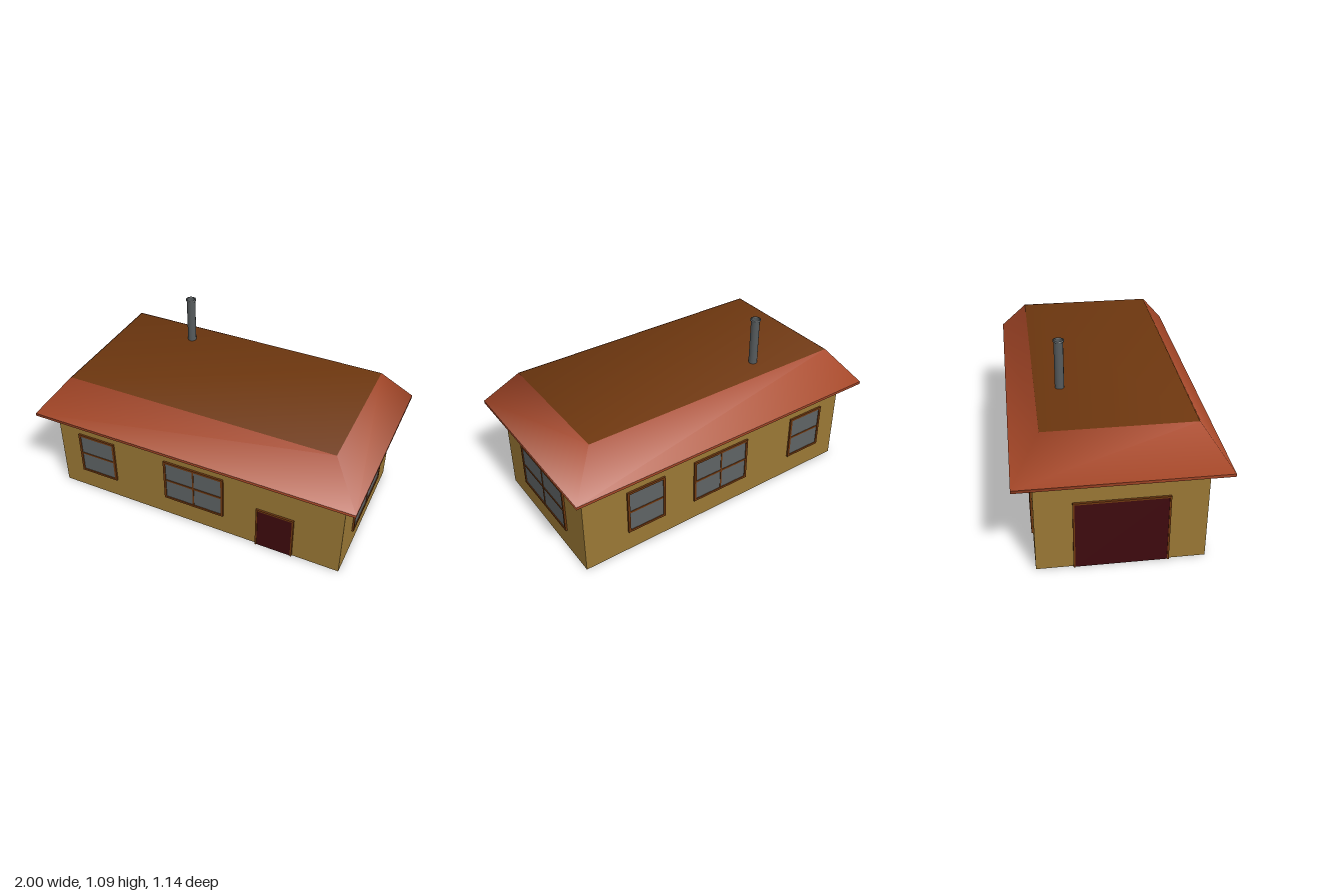
import * as THREE from 'three';

const mat = (name, color, side = THREE.FrontSide) => {
  const m = new THREE.MeshStandardMaterial({ color, side });
  m.name = name;
  return m;
};

export function createModel() {
  const house = new THREE.Group();
  house.name = 'house';
  const wall = mat('ochre wall', 0x9a7835);
  const tile = mat('red roof tile', 0xa84828, THREE.DoubleSide);
  const wood = mat('brown wood', 0x6e370f);
  const glass = mat('grey glass', 0x5e6364);
  const doorRed = mat('dark red door', 0x3e0a0e);
  const metal = mat('grey metal', 0x565b5d, THREE.DoubleSide);

  const add = (parent, name, geometry, material, x = 0, y = 0, z = 0) => {
    const mesh = new THREE.Mesh(geometry, material);
    mesh.name = name;
    mesh.position.set(x, y, z);
    parent.add(mesh);
    return mesh;
  };
  const box = (parent, name, w, h, d, material, x, y, z) =>
    add(parent, name, new THREE.BoxGeometry(w, h, d), material, x, y, z);

  // Four-sided ring between two rectangles, with smooth corners and optional cap
  const frustum = ([bx, bz, by], [tx, tz, ty], cap) => {
    const corners = [[-1, 1], [1, 1], [1, -1], [-1, -1]];
    const points = [
      ...corners.flatMap(([x, z]) => [x * bx, by, z * bz]),
      ...corners.flatMap(([x, z]) => [x * tx, ty, z * tz]),
    ];
    const index = [];
    for (let i = 0; i < 4; i++) {
      const j = (i + 1) % 4;
      index.push(i, j, j + 4, i, j + 4, i + 4);
    }
    if (cap) index.push(4, 5, 6, 4, 6, 7);
    const g = new THREE.BufferGeometry();
    g.setAttribute('position', new THREE.Float32BufferAttribute(points, 3));
    g.setIndex(index);
    g.computeVertexNormals();
    return g;
  };

  // Walls
  box(house, 'walls', 1.844, 0.575, 0.925, wall, 0, 0.2875, 0);

  // Roof: brown core with a flat top, red slopes and fascia, brown soffit
  add(house, 'roofTop', frustum([0.985, 0.555, 0.575], [0.821, 0.409, 0.8], true), wood);
  add(house, 'roofSlopes', frustum([1, 0.57, 0.584], [0.823, 0.411, 0.801], false), tile);
  add(house, 'fascia', frustum([1, 0.57, 0.567], [1, 0.57, 0.584], false), tile);
  box(house, 'soffit', 1.996, 0.012, 1.136, wood, 0, 0.574, 0);

  // Openings are built facing +z, then turned onto their wall
  const opening = (name, x, z, turn) => {
    const g = new THREE.Group();
    g.name = name;
    g.position.set(x, 0, z);
    g.rotation.y = turn;
    house.add(g);
    return g;
  };

  const window_ = (name, x, z, turn, w, columns) => {
    const g = opening(name, x, z, turn);
    const y0 = 0.135, h = 0.288, t = 0.014, d = 0.022;
    const cy = y0 + h / 2;
    box(g, 'pane', w - t, h - t, 0.008, glass, 0, cy, 0.002);
    for (const s of [-1, 1]) {
      box(g, 'frameSide', t, h, d, wood, s * (w - t) / 2, cy, 0);
      box(g, 'frameRail', w - 2 * t, t, d, wood, 0, cy + s * (h - t) / 2, 0);
    }
    box(g, 'crossBar', w - 2 * t, 0.012, d - 0.004, wood, 0, cy, 0);
    if (columns > 1) box(g, 'mullion', 0.009, h - 2 * t, d - 0.004, wood, 0, cy, 0);
  };

  const door = (name, x, z, turn, w, h) => {
    const g = opening(name, x, z, turn);
    const t = 0.01, d = 0.024;
    box(g, 'leaf', w - 2 * t, h - t, 0.012, doorRed, 0, (h - t) / 2, 0.002);
    for (const s of [-1, 1]) box(g, 'jamb', t, h, d, wood, s * (w - t) / 2, h / 2, 0);
    box(g, 'lintel', w - 2 * t, t, d, wood, 0, h - t / 2, 0);
  };

  const front = 0.4625, end = 0.922;
  window_('frontSmallWindow', -0.66, front, 0, 0.25, 1);
  window_('frontWideWindow', 0, front, 0, 0.39, 2);
  door('frontDoor', 0.521, front, 0, 0.232, 0.286);
  window_('backSmallWindow', -0.66, -front, Math.PI, 0.25, 1);
  window_('backWideWindow', 0, -front, Math.PI, 0.39, 2);
  window_('backSmallWindow', 0.522, -front, Math.PI, 0.25, 1);
  window_('leftWindow', end, 0, Math.PI / 2, 0.514, 2);
  door('garageDoor', -end, 0, -Math.PI / 2, 0.52, 0.424);

  // Hollow stove pipe with a thin collar
  const pipe = new THREE.Group();
  pipe.name = 'chimney';
  pipe.position.set(-0.37, 0, -0.27);
  house.add(pipe);
  const lathe = (points) =>
    new THREE.LatheGeometry(points.map(([r, y]) => new THREE.Vector2(r, y)), 12);
  add(pipe, 'flue', new THREE.CylinderGeometry(0.026, 0.026, 0.29, 12, 1, true), metal, 0, 0.935, 0);
  add(pipe, 'collar', lathe([[0.026, 1.078], [0.031, 1.078], [0.031, 1.086], [0.025, 1.086]]), metal);

  return house;
}
